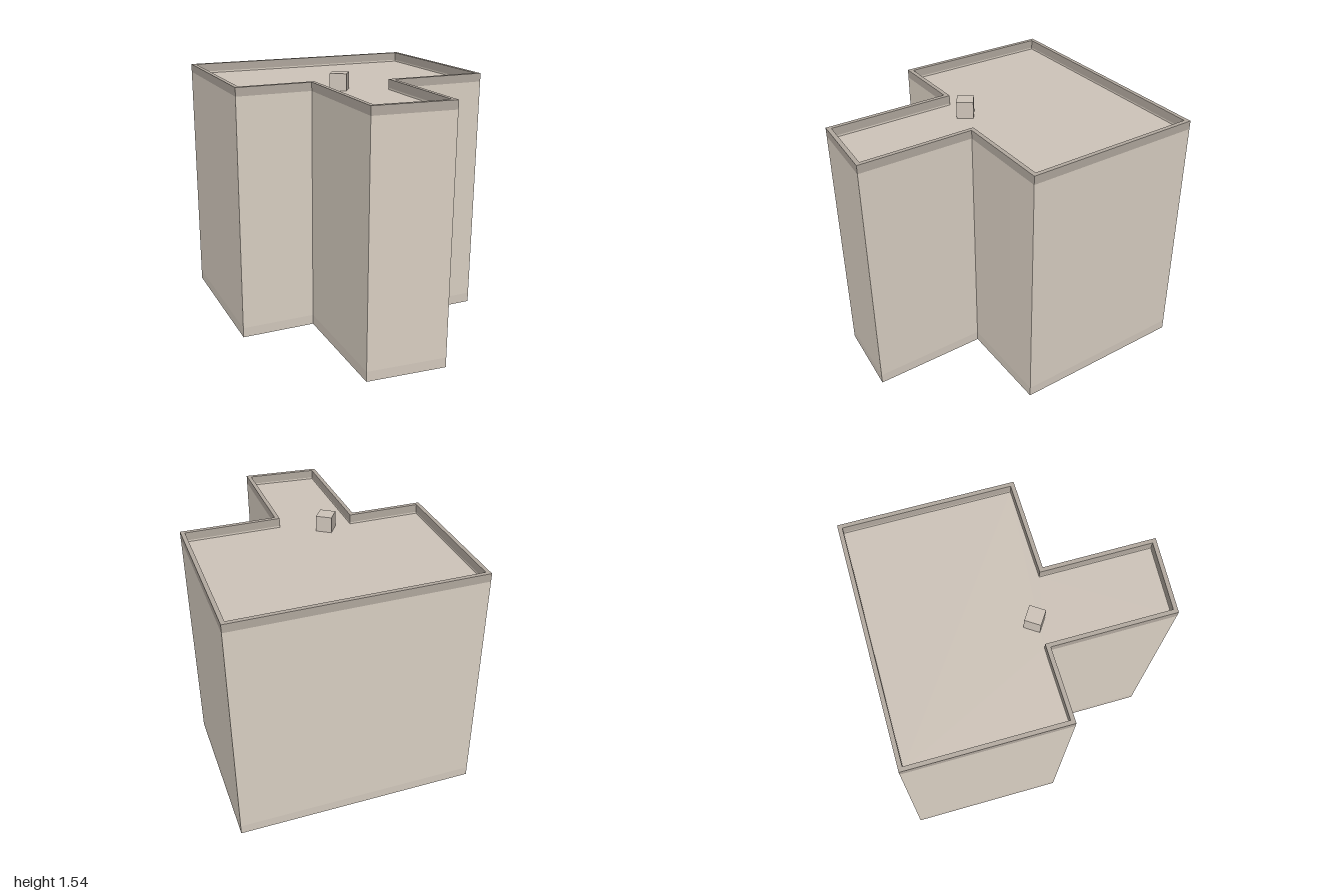
import * as THREE from 'three';
import { mergeGeometries } from 'three/addons/utils/BufferGeometryUtils.js';

const mat = (color) => new THREE.MeshStandardMaterial({ color, flatShading: true });
const wallMat = mat(0xdcd2c5);
const plinthMat = mat(0xd5cbbf);
const parapetMat = mat(0xb3aaa0);
const roofMat = mat(0xcfc5ba);
const frameMat = mat(0x5f5a54);
const glassMat = mat(0x5b676b);
const railMat = mat(0x8fa3aa);

// T-shaped footprint as [x, z] corners
const plan = [
  [-0.92, -0.157], [0.32, -1], [0.92, -0.127], [0.437, 0.2],
  [0.82, 0.757], [0.41, 0.993], [-0.01, 0.383], [-0.38, 0.635],
].map(([x, z]) => new THREE.Vector2(x, z));

const HEIGHT = 1.5, PARAPET = 1.45, ROOF = 1.44, PLINTH = 0.06;
const THICK = 0.025, FLOORS = 6, STOREY = 0.235;

// Inward normal of the edge starting at corner i
function inward(i) {
  const a = plan[i], b = plan[(i + 1) % plan.length];
  const d = b.clone().sub(a).normalize();
  return new THREE.Vector2(-d.y, d.x);
}

function inset(distance) {
  return plan.map((p, i) => {
    const n1 = inward((i + plan.length - 1) % plan.length), n2 = inward(i);
    return p.clone().addScaledVector(n1.clone().add(n2), distance / (1 + n1.dot(n2)));
  });
}

// Extrude an outline (optionally hollow) between two heights
function slab(name, outline, hole, bottom, top, material) {
  const shape = new THREE.Shape(outline);
  if (hole) shape.holes.push(new THREE.Path(hole));
  const geo = new THREE.ExtrudeGeometry(shape, { depth: top - bottom, bevelEnabled: false });
  geo.rotateX(Math.PI / 2).translate(0, top, 0);
  const mesh = new THREE.Mesh(geo, material);
  mesh.name = name;
  return mesh;
}

const box = (w, h, d, x, y, z) => new THREE.BoxGeometry(w, h, d).translate(x, y, z);

// Windows, balconies, pipes and vents on the inner face of one wall; local +z points inward
function facade(index, start, end, columns) {
  const length = start.distanceTo(end), n = inward(index);
  const frames = [], glass = [], slabs = [], rails = [], pipes = [], vents = [];
  for (let c = 0; c < columns; c++) {
    const x = ((c + 0.5) / columns - 0.5) * length;
    for (let f = 0; f < FLOORS; f++) {
      const y = 0.13 + f * STOREY;
      frames.push(box(0.125, 0.125, 0.008, x, y, 0.003));
      glass.push(box(0.052, 0.108, 0.006, x - 0.028, y, 0.007));
      glass.push(box(0.052, 0.108, 0.006, x + 0.028, y, 0.007));
      if (f === 0) continue;
      slabs.push(box(0.165, 0.014, 0.075, x, y - 0.07, 0.0375));
      rails.push(box(0.16, 0.055, 0.004, x, y - 0.036, 0.072));
      for (const s of [-1, 1]) rails.push(box(0.004, 0.055, 0.07, x + s * 0.078, y - 0.036, 0.036));
    }
    if (c > 0) {
      const pipe = new THREE.CylinderGeometry(0.005, 0.005, 1.15, 6);
      pipes.push(pipe.translate((c / columns - 0.5) * length, 0.84, 0.008));
    }
    for (let v = -2; v <= 2; v++) vents.push(box(0.008, 0.008, 0.004, x + v * 0.022, 0.03, 0.001));
  }
  const group = new THREE.Group();
  group.name = 'facade' + (index + 1);
  const add = (name, parts, material) => {
    if (!parts.length) return;
    const mesh = new THREE.Mesh(mergeGeometries(parts), material);
    mesh.name = name;
    group.add(mesh);
  };
  add('windowFrames', frames, frameMat);
  add('windowPanes', glass, glassMat);
  add('balconySlabs', slabs, frameMat);
  add('balconyRails', rails, railMat);
  add('drainPipes', pipes, frameMat);
  add('plinthVents', vents, frameMat);
  group.position.set((start.x + end.x) / 2, 0, (start.y + end.y) / 2);
  group.rotation.y = Math.atan2(n.x, n.y);
  return group;
}

export function createModel() {
  const model = new THREE.Group();
  model.name = 'apartmentBlock';
  const inner = inset(THICK);

  // Hollow shell, open at the bottom
  model.add(slab('plinth', plan, inner, 0, PLINTH, plinthMat));
  model.add(slab('outerWalls', plan, inner, PLINTH, PARAPET, wallMat));
  model.add(slab('parapet', plan, inner, PARAPET, HEIGHT, parapetMat));
  model.add(slab('roof', inner, null, ROOF - 0.02, ROOF, roofMat));

  // Roof hatch
  const hatch = new THREE.Mesh(box(0.096, 0.1, 0.096, 0.125, 1.489, 0.25), roofMat);
  hatch.name = 'roofHatch';
  model.add(hatch);

  // Inner facades, one per wall
  const columns = [6, 4, 2, 3, 1, 3, 2, 4];
  columns.forEach((count, i) => {
    model.add(facade(i, inner[i], inner[(i + 1) % inner.length], count));
  });
  return model;
}
